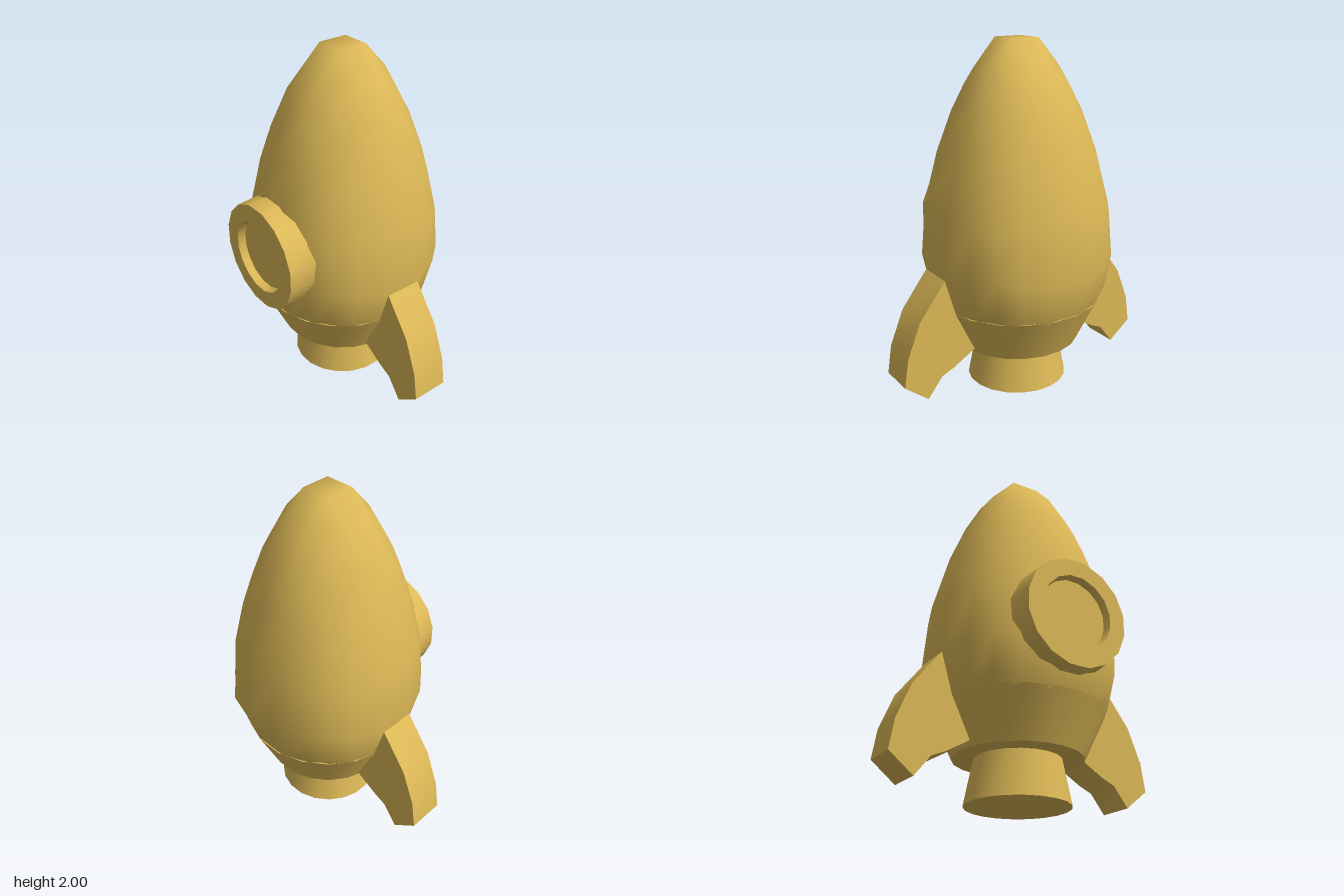
import * as THREE from 'three';
import { mergeVertices, toCreasedNormals } from 'three/addons/utils/BufferGeometryUtils.js';

const AXIS_Z = -0.023; // hull axis, set back a little to balance the porthole
const gold = new THREE.MeshStandardMaterial({ color: 0xdcb856 });

function add(parent, name, geometry, creaseAngle = 0.7) {
  const mesh = new THREE.Mesh(creaseAngle ? toCreasedNormals(geometry, creaseAngle) : geometry, gold);
  mesh.name = name;
  parent.add(mesh);
  return mesh;
}

// Egg-shaped hull: a subdivided cube blown up to a sphere, then stretched and tapered upwards
function hullGeometry() {
  const box = new THREE.BoxGeometry(2, 2, 2, 5, 5, 5);
  box.deleteAttribute('uv');
  box.deleteAttribute('normal');
  const geometry = mergeVertices(box);
  const pos = geometry.attributes.position;
  const v = new THREE.Vector3();
  for (let i = 0; i < pos.count; i++) {
    v.fromBufferAttribute(pos, i).normalize();
    const t = Math.max(0, v.y + 0.19);
    const radius = 0.561 * (1 - 0.205 * Math.min(1, t * t * 0.35 + t * 0.55));
    const y = 0.91 + 0.91 * v.y + 0.23 * v.y * v.y;
    pos.setXYZ(i, v.x * radius, Math.max(0.28, y), v.z * radius);
  }
  geometry.computeVertexNormals();
  return geometry;
}

// Swept fin outline in the xy plane, extruded along z
function finGeometry() {
  const outline = [
    [0.4, 0.72], [0.54, 0.735], [0.695, 0.53], [0.775, 0.33], [0.8, 0.165],
    [0.66, 0.055], [0.57, 0.17], [0.49, 0.205], [0.37, 0.275], [0.3, 0.32],
  ].map(([x, y]) => new THREE.Vector2(x, y));
  const depth = 0.215;
  return new THREE.ExtrudeGeometry(new THREE.Shape(outline), { depth, bevelEnabled: false })
    .translate(0, 0, -depth / 2);
}

export function createModel() {
  const rocket = new THREE.Group();
  rocket.name = 'rocket';

  const body = new THREE.Group();
  body.name = 'body';
  body.position.z = AXIS_Z;
  rocket.add(body);

  add(body, 'hull', hullGeometry(), 0);

  // Tapered skirt under the hull and flared engine nozzle
  const half = Math.PI / 20;
  add(body, 'skirt', new THREE.CylinderGeometry(0.49, 0.365, 0.265, 20).rotateY(half).translate(0, 0.3875, 0));
  add(body, 'nozzle', new THREE.CylinderGeometry(0.235, 0.293, 0.3, 20).rotateY(half).translate(0, 0.15, 0));

  // Two fins, the second turned half way round
  for (const [name, angle] of [['leftFin', 0], ['rightFin', Math.PI]]) {
    add(body, name, finGeometry(), 0.5).rotation.y = angle;
  }

  // Porthole: a ring profile turned around z, with a recessed pane
  const porthole = new THREE.Group();
  porthole.name = 'porthole';
  porthole.position.y = 0.907;
  rocket.add(porthole);
  const profile = [[0.2, 0.38], [0.322, 0.38], [0.309, 0.565], [0.213, 0.565], [0.2, 0.5], [0.2, 0.38]]
    .map(([r, z]) => new THREE.Vector2(r, z));
  const ring = new THREE.LatheGeometry(profile, 16).rotateY(Math.PI / 16).rotateX(Math.PI / 2);
  add(porthole, 'portholeRing', ring);
  add(porthole, 'portholePane', new THREE.CircleGeometry(0.206, 16, Math.PI / 16).translate(0, 0, 0.52));

  return rocket;
}
